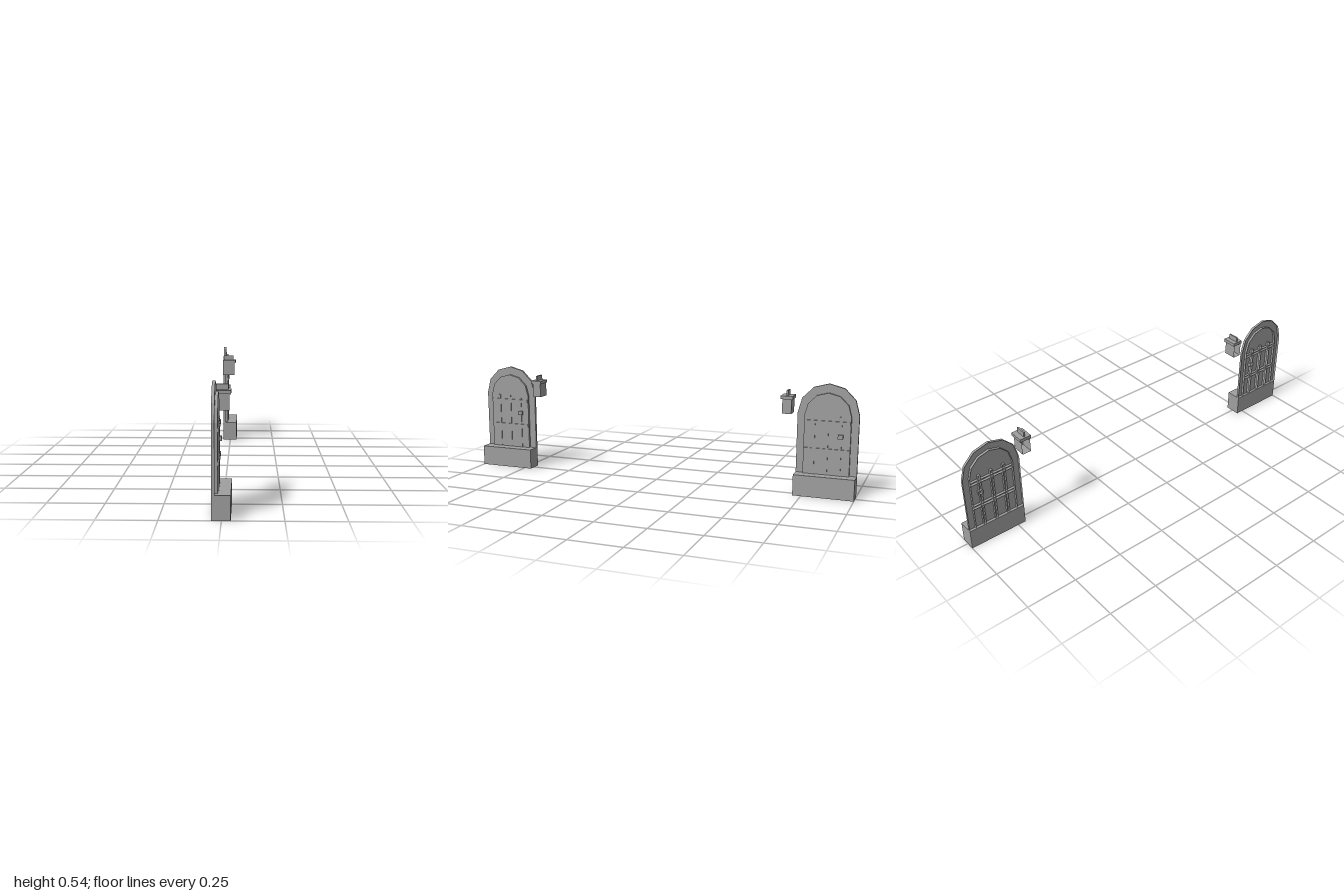
import * as THREE from 'three';

const BACK = -0.04; // wall plane: every wall-mounted part starts here, open at the back
const stone = new THREE.MeshStandardMaterial({ color: 0xa0a0a0, side: THREE.DoubleSide });
stone.name = 'stone grey';

// Box from min to max, leaving out the listed faces (0 +x, 1 -x, 2 +y, 3 -y, 4 +z, 5 -z)
function box(name, [x0, y0, z0], [x1, y1, z1], open = []) {
  const g = new THREE.BoxGeometry(x1 - x0, y1 - y0, z1 - z0);
  g.translate((x0 + x1) / 2, (y0 + y1) / 2, (z0 + z1) / 2);
  const index = Array.from(g.index.array);
  g.setIndex(index.filter((_, i) => !open.includes(Math.floor(i / 6))));
  g.clearGroups();
  const mesh = new THREE.Mesh(g, stone);
  mesh.name = name;
  return mesh;
}

// Round-topped slab facing +x, six-sided arch, without its back face
function archShell(name, radius, bottom, spring, front) {
  const points = [new THREE.Vector2(-radius, bottom), new THREE.Vector2(radius, bottom)];
  for (let i = 0; i <= 6; i++) {
    const a = (i / 6) * Math.PI;
    points.push(new THREE.Vector2(Math.cos(a) * radius, spring + Math.sin(a) * radius));
  }
  const solid = new THREE.ExtrudeGeometry(new THREE.Shape(points), { depth: front - BACK, bevelEnabled: false });
  const p = solid.attributes.position;
  const kept = [];
  for (let i = 0; i < p.count; i += 3) {
    if ([0, 1, 2].every((k) => p.getZ(i + k) < 1e-5)) continue;
    for (let k = 0; k < 3; k++) kept.push(p.getX(i + k), p.getY(i + k), p.getZ(i + k));
  }
  const g = new THREE.BufferGeometry();
  g.setAttribute('position', new THREE.Float32BufferAttribute(kept, 3));
  g.rotateY(Math.PI / 2);
  g.translate(BACK, 0, 0);
  g.computeVertexNormals();
  const mesh = new THREE.Mesh(g, stone);
  mesh.name = name;
  return mesh;
}

function createDoor() {
  const door = new THREE.Group();
  door.name = 'door';
  door.add(box('doorstep', [BACK, 0, -0.145], [0.037, 0.102, 0.145], [3]));
  door.add(archShell('doorFrame', 0.145, 0.102, 0.392, -0.027));
  door.add(archShell('doorPanel', 0.11, 0.102, 0.385, -0.015));
  // Upright battens
  for (const z of [-0.063, 0, 0.063]) {
    door.add(box('batten', [BACK, 0.102, z - 0.006], [-0.012, 0.385, z + 0.006], [1]));
  }
  // Crossbars
  for (const y of [0.221, 0.355]) {
    door.add(box('crossbar', [BACK, y - 0.008, -0.108], [-0.009, y + 0.008, 0.108], [1]));
  }
  door.add(box('handle', [BACK, 0.281, -0.076], [-0.004, 0.301, -0.052], [1]));
  return door;
}

function createLantern() {
  const lantern = new THREE.Group();
  lantern.name = 'lantern';
  lantern.add(box('lanternBody', [BACK, 0.391, -0.022], [0.025, 0.461, 0.022], [1, 2]));
  lantern.add(box('lanternCap', [BACK, 0.461, -0.029], [0.032, 0.477, 0.029]));
  lantern.add(box('lanternFin', [-0.032, 0.477, -0.004], [0.02, 0.502, 0.004], [3]));
  return lantern;
}

export function createModel() {
  const model = new THREE.Group();
  model.name = 'doorsAndLanterns';
  // The same door and lantern stand at either end
  for (const side of [1, -1]) {
    const door = createDoor();
    door.position.z = side * 0.855;
    const lantern = createLantern();
    lantern.position.z = side * 0.668;
    model.add(door, lantern);
  }
  return model;
}
